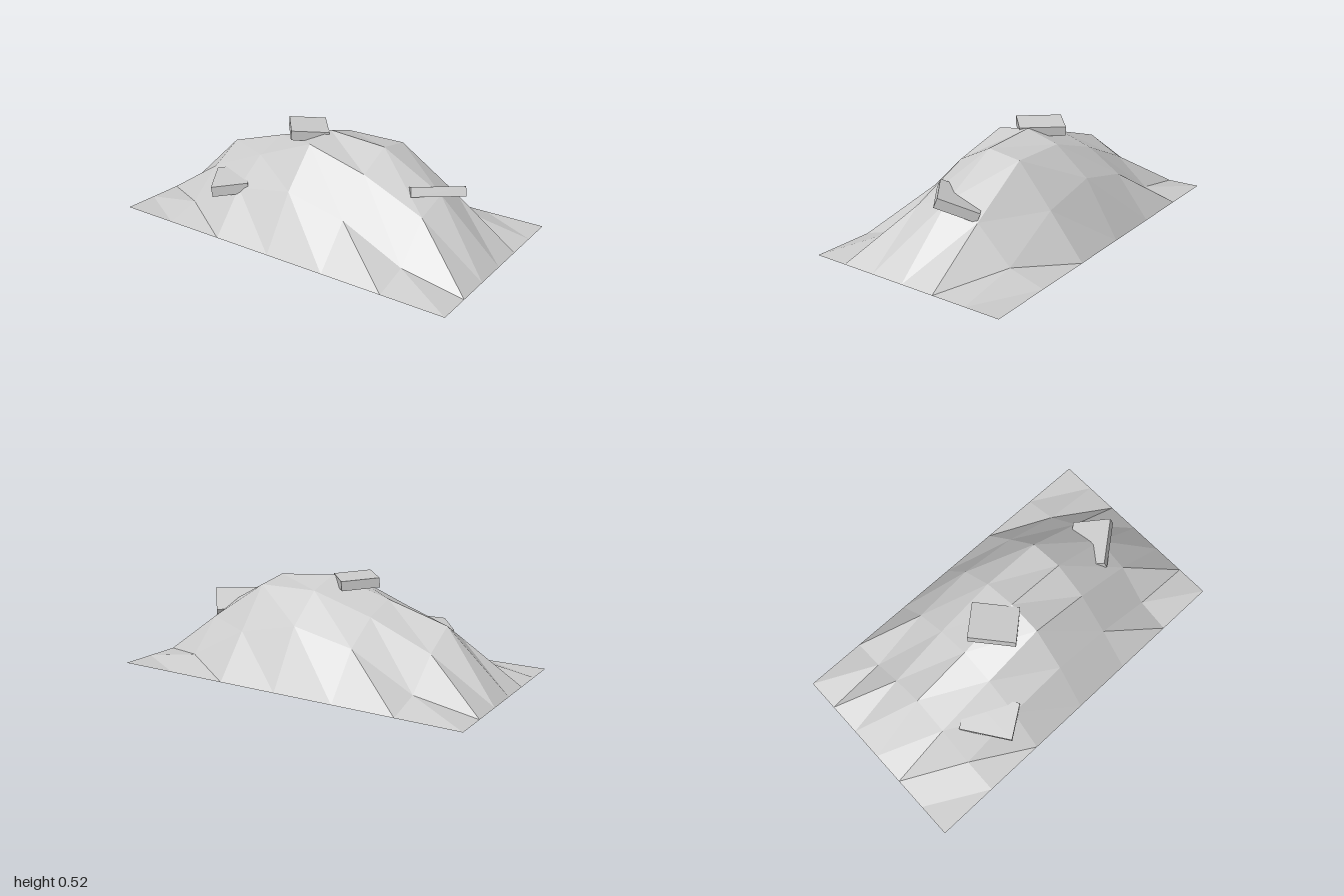
import * as THREE from 'three';

const stone = new THREE.MeshStandardMaterial({ color: 0xcccccc, flatShading: true, side: THREE.DoubleSide });
stone.name = 'pale grey stone';

// Open faceted mound: a 6 x 6 grid, rim at ground level, rows run back to front
function moundGeometry() {
  const heights = [
    [0.055, 0.23, 0.30, 0.23, 0.055],
    [0.21, 0.35, 0.45, 0.45, 0.235],
    [0.31, 0.41, 0.505, 0.48, 0.30],
    [0.21, 0.35, 0.48, 0.39, 0.245],
    [0.055, 0.22, 0.28, 0.21, 0.055],
  ];
  const n = 6, halfDepth = 0.555;
  const positions = [], index = [];
  for (let j = 0; j <= n; j++) {
    for (let i = 0; i <= n; i++) {
      const y = heights[j - 1]?.[i - 1] ?? 0;
      positions.push(-1 + (2 * i) / n, y, halfDepth * (-1 + (2 * j) / n));
    }
  }
  for (let j = 0; j < n; j++) {
    for (let i = 0; i < n; i++) {
      const a = j * (n + 1) + i, b = a + n + 1;
      index.push(a, b, b + 1, a, b + 1, a + 1);
    }
  }
  const indexed = new THREE.BufferGeometry();
  indexed.setAttribute('position', new THREE.Float32BufferAttribute(positions, 3));
  indexed.setIndex(index);
  const geometry = indexed.toNonIndexed();
  geometry.computeVertexNormals();
  return geometry;
}

// Tilted slab given three neighbouring corners of its top face and a thickness
function slab(name, p, q, r, thickness) {
  const [a, b, c] = [p, q, r].map((v) => new THREE.Vector3(...v));
  const along = b.clone().sub(a), across = c.clone().sub(b);
  const up = along.clone().cross(across).normalize().multiplyScalar(thickness);
  const centre = a.clone().add(c).multiplyScalar(0.5).addScaledVector(up, -0.5);
  const geometry = new THREE.BoxGeometry(1, 1, 1);
  geometry.applyMatrix4(new THREE.Matrix4().makeBasis(across, up, along).setPosition(centre));
  geometry.computeVertexNormals();
  const mesh = new THREE.Mesh(geometry, stone);
  mesh.name = name;
  return mesh;
}

export function createModel() {
  const group = new THREE.Group();
  group.name = 'rockyMound';

  const mound = new THREE.Mesh(moundGeometry(), stone);
  mound.name = 'mound';
  group.add(mound);

  // Slabs half buried in the slope
  group.add(
    slab('topSlab', [-0.29, 0.52, -0.02], [-0.13, 0.52, 0.17], [0.02, 0.505, 0.04], 0.05),
    slab('leftSlab', [0.565, 0.36, 0.125], [0.78, 0.36, -0.04], [0.65, 0.275, -0.19], 0.05),
    slab('rightSlab', [-0.6, 0.23, 0.24], [-0.44, 0.23, 0.47], [-0.28, 0.255, 0.36], 0.055),
  );
  return group;
}
